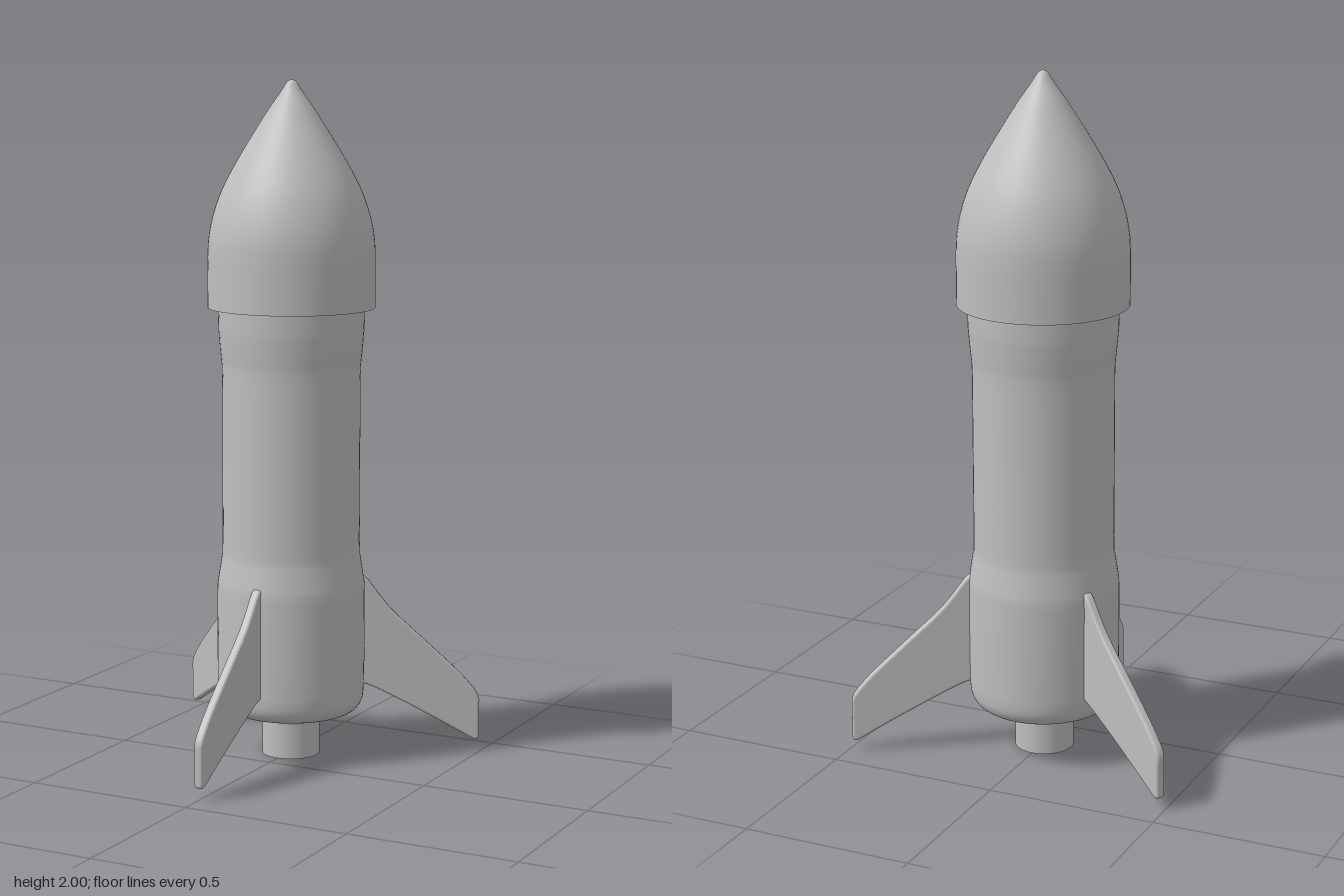
import * as THREE from 'three';

const AXIS_Z = -0.135;
const vec = ([x, y]) => new THREE.Vector2(x, y);

export function createModel() {
  const rocket = new THREE.Group();
  rocket.name = 'rocket';
  const grey = new THREE.MeshStandardMaterial({ color: 0xbfbfbf });
  grey.name = 'plain grey';

  function add(name, geometry) {
    const mesh = new THREE.Mesh(geometry, grey);
    mesh.name = name;
    mesh.position.z = AXIS_Z;
    rocket.add(mesh);
    return mesh;
  }
  // Profiles run bottom to top so that faces point outwards
  const turn = (name, points) => add(name, new THREE.LatheGeometry(points, 64));
  const smooth = (points, n) => new THREE.SplineCurve(points.map(vec)).getPoints(n);

  // Body: rounded base, wide engine section, slim tube, flared neck
  turn('body', [
    ...smooth([[0.086, 0.105], [0.092, 0.12], [0.11, 0.127], [0.16, 0.13], [0.195, 0.143],
      [0.213, 0.17], [0.218, 0.21]], 24),
    ...[[0.219, 0.3], [0.219, 0.49]].map(vec),
    ...smooth([[0.218, 0.52], [0.211, 0.565], [0.204, 0.61]], 6),
    ...[[0.203, 0.65], [0.203, 1.13]].map(vec),
    ...smooth([[0.204, 1.17], [0.209, 1.22], [0.214, 1.28]], 6),
    ...[[0.215, 1.34], [0.215, 1.42]].map(vec),
  ]);

  // Nozzle: short plain cylinder below the body
  const nozzle = add('nozzle', new THREE.CylinderGeometry(0.086, 0.086, 0.13, 48));
  nozzle.position.y = 0.065;

  // Nose cone: outer shell, lower rim and the inside of the overhanging skirt
  turn('noseCone', [
    vec([0.245, 1.34]), vec([0.245, 1.42]),
    ...smooth([[0.245, 1.48], [0.242, 1.54], [0.231, 1.6], [0.212, 1.66], [0.187, 1.715],
      [0.145, 1.79], [0.075, 1.902], [0.033, 1.963], [0.014, 1.992], [0, 2]], 48),
  ]);
  turn('noseRim', [[0.236, 1.34], [0.245, 1.34]].map(vec));
  turn('noseSkirtInside', [[0.236, 1.42], [0.236, 1.34]].map(vec));
  turn('noseSkirtCeiling', [[0.2, 1.42], [0.236, 1.42]].map(vec));

  // Fins: swept blades with softened edges, spaced a third of a turn apart
  const outline = new THREE.Shape();
  outline.moveTo(0.19, 0.215);
  outline.lineTo(0.225, 0.207);
  outline.splineThru([[0.26, 0.192], [0.36, 0.14], [0.46, 0.085], [0.545, 0.036]].map(vec));
  outline.quadraticCurveTo(0.565, 0.028, 0.565, 0.045);
  outline.lineTo(0.565, 0.155);
  outline.quadraticCurveTo(0.564, 0.172, 0.545, 0.195);
  outline.splineThru([[0.5, 0.245], [0.4, 0.34], [0.3, 0.435], [0.24, 0.512]].map(vec));
  outline.quadraticCurveTo(0.222, 0.538, 0.21, 0.538);
  outline.lineTo(0.19, 0.53);
  outline.closePath();
  const blade = new THREE.ExtrudeGeometry(outline, {
    depth: 0.012, bevelThickness: 0.008, bevelSize: 0.008, bevelOffset: -0.008,
    bevelSegments: 3, curveSegments: 6,
  });
  blade.translate(0, 0, -0.006);
  ['leftFin', 'rightFin', 'frontFin'].forEach((name, i) => {
    add(name, blade).rotation.y = Math.PI / 6 + i * Math.PI * 2 / 3;
  });

  return rocket;
}
